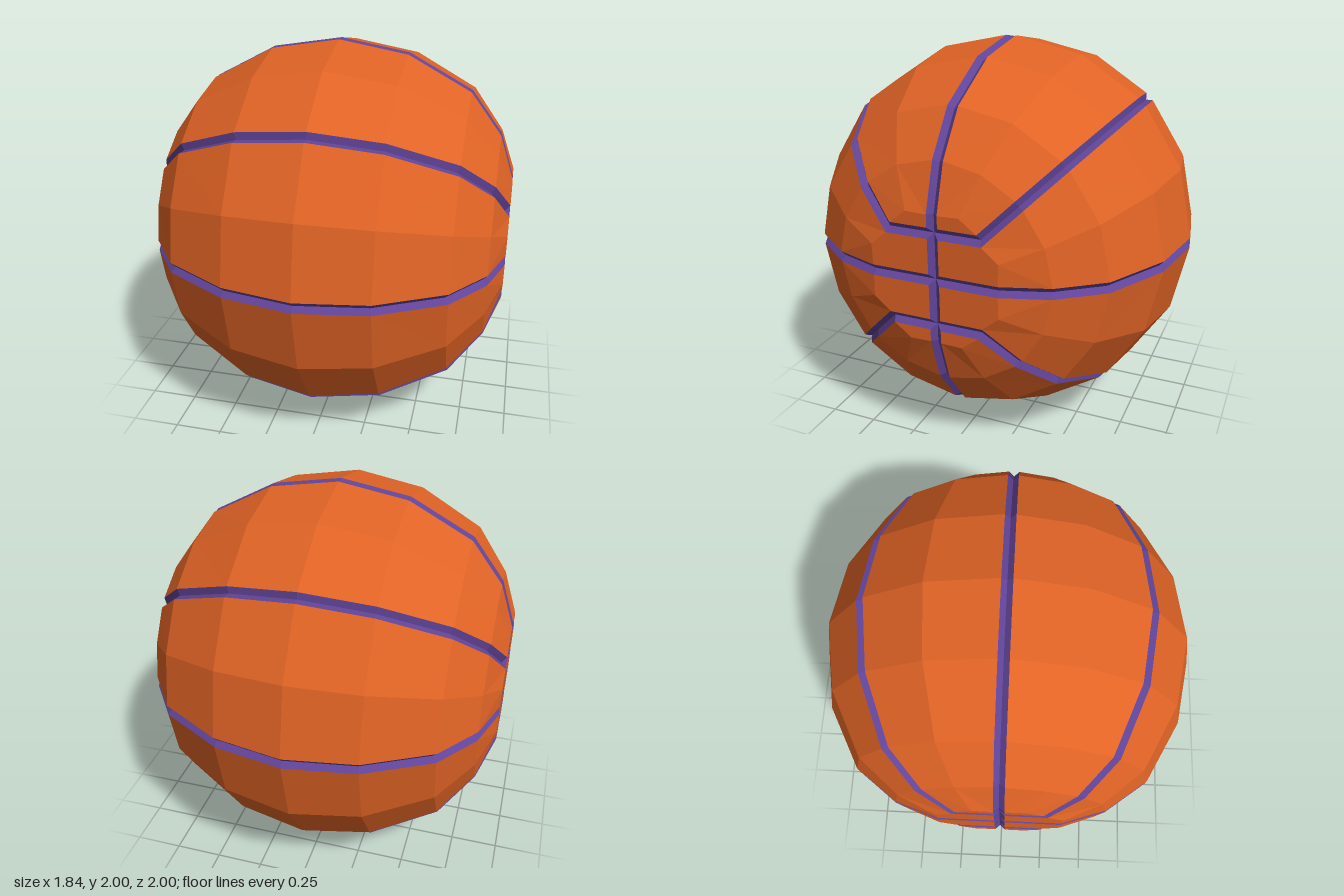
import * as THREE from 'three';

const W = 0.027;      // half width of a groove
const D = 0.024;      // groove depth
const BAR = 0.23;     // distance of the short end bars from the middle
const CAP_X = 0.92;   // flat end discs
const CAP_R = 0.32;
// rings from the middle to the end disc: [x, radius]
const RINGS = [[0, 1], [0.355, 0.94], [0.68, 0.767], [0.843, 0.552]];

// Collects flat polygons and turns every face outward
function faceSet() {
  const pos = [];
  const a = new THREE.Vector3(), b = new THREE.Vector3(), c = new THREE.Vector3();
  return {
    add(points) {
      for (let i = 1; i < points.length - 1; i++) {
        const [p, q, r] = [points[0], points[i], points[i + 1]];
        a.subVectors(q, p);
        b.subVectors(r, p);
        c.copy(p).add(q).add(r);
        const tri = a.cross(b).dot(c) > 0 ? [p, q, r] : [p, r, q];
        tri.forEach((v) => pos.push(v.x, v.y, v.z));
      }
    },
    mesh(name, material) {
      const g = new THREE.BufferGeometry();
      g.setAttribute('position', new THREE.Float32BufferAttribute(pos, 3));
      g.computeVertexNormals();
      g.translate(0, 1, 0);
      const m = new THREE.Mesh(g, material);
      m.name = name;
      return m;
    },
  };
}

// Corners on the rim of the end disc, for one quadrant: u along z, v along y
const E1 = [BAR + 0.414 * W, BAR - W];
const E2 = [BAR - 0.414 * W, BAR + W];
const P1 = [0.323, 0.134];
const P2 = [0.134, 0.323];
const rim = [[CAP_R, 0, 1], [CAP_R, W], P1, E1, [BAR, BAR, 1], E2, P2, [W, CAP_R], [0, CAP_R, 1]];

// Columns of one quadrant: [angle, sideways shift, is groove bottom]
const COLUMNS = [[0, 0, 1], [0, W], [22.5, 0], [45, -W], [45, 0, 1], [45, W], [67.5, 0], [90, -W], [90, 0, 1]];

function ringPoint([x, r], [deg, shift, deep]) {
  const t = THREE.MathUtils.degToRad(deg);
  const k = deep ? 1 - D : 1;
  return [
    x * k,
    Math.cos(t) * r * k - Math.sin(t) * shift,
    Math.sin(t) * r * k + Math.cos(t) * shift,
  ];
}

const capPoint = ([u, v, deep]) => [CAP_X - (deep ? D : 0), u, v];

export function createModel() {
  const orange = new THREE.MeshStandardMaterial({ color: 0xe06325 });
  orange.name = 'orange leather';
  const purple = new THREE.MeshStandardMaterial({ color: 0x614499 });
  purple.name = 'purple seam';

  const panels = faceSet(), seams = faceSet(), endPanels = faceSet(), endSeams = faceSet();

  // one quadrant of the curved side, ring by ring
  const rows = RINGS.map((ring) => COLUMNS.map((col) => ringPoint(ring, col)));
  rows.push(rim.map(capPoint));

  // leather areas of the end disc, below and above the bar
  const capLeather = [
    [[W, W], [CAP_R, W], P1, E1, [W, BAR - W]],
    [[W, BAR + W], E2, P2, [W, CAP_R]],
  ];

  // sloped groove walls of the end disc; a third entry marks the groove bottom
  const lo = BAR - W, hi = BAR + W;
  const capGrooves = [
    [[W, 0, 1], [CAP_R, 0, 1], [CAP_R, W], [W, W]],
    [[0, W, 1], [W, W], [W, lo], [0, lo, 1]],
    [[0, hi, 1], [W, hi], [W, CAP_R], [0, CAP_R, 1]],
    [[W, BAR, 1], [BAR, BAR, 1], E1, [W, lo]],
    [[W, BAR, 1], [BAR, BAR, 1], E2, [W, hi]],
  ];
  // crossings: [groove height, corner height]
  for (const [v, corner] of [[0, W], [BAR, lo], [BAR, hi]]) {
    capGrooves.push([[0, v, 1], [W, v, 1], [W, corner]], [[0, v, 1], [0, corner, 1], [W, corner]]);
  }

  // mirror the quadrant to both ends and all around
  for (const sx of [1, -1]) for (const sy of [1, -1]) for (const sz of [1, -1]) {
    const place = ([x, u, v]) => new THREE.Vector3(sx * x, sy * v, sz * u);
    for (let i = 0; i < rows.length - 1; i++) {
      for (let j = 0; j < COLUMNS.length - 1; j++) {
        const isGroove = COLUMNS[j][2] || COLUMNS[j + 1][2];
        const quad = [rows[i][j], rows[i][j + 1], rows[i + 1][j + 1], rows[i + 1][j]];
        (isGroove ? seams : panels).add(quad.map(place));
      }
    }
    capLeather.forEach((p) => endPanels.add(p.map(capPoint).map(place)));
    capGrooves.forEach((p) => endSeams.add(p.map(capPoint).map(place)));
  }

  const ball = new THREE.Group();
  ball.name = 'ball';
  ball.add(
    panels.mesh('sidePanels', orange),
    endPanels.mesh('endPanels', orange),
    seams.mesh('sideSeams', purple),
    endSeams.mesh('endSeams', purple),
  );
  return ball;
}
